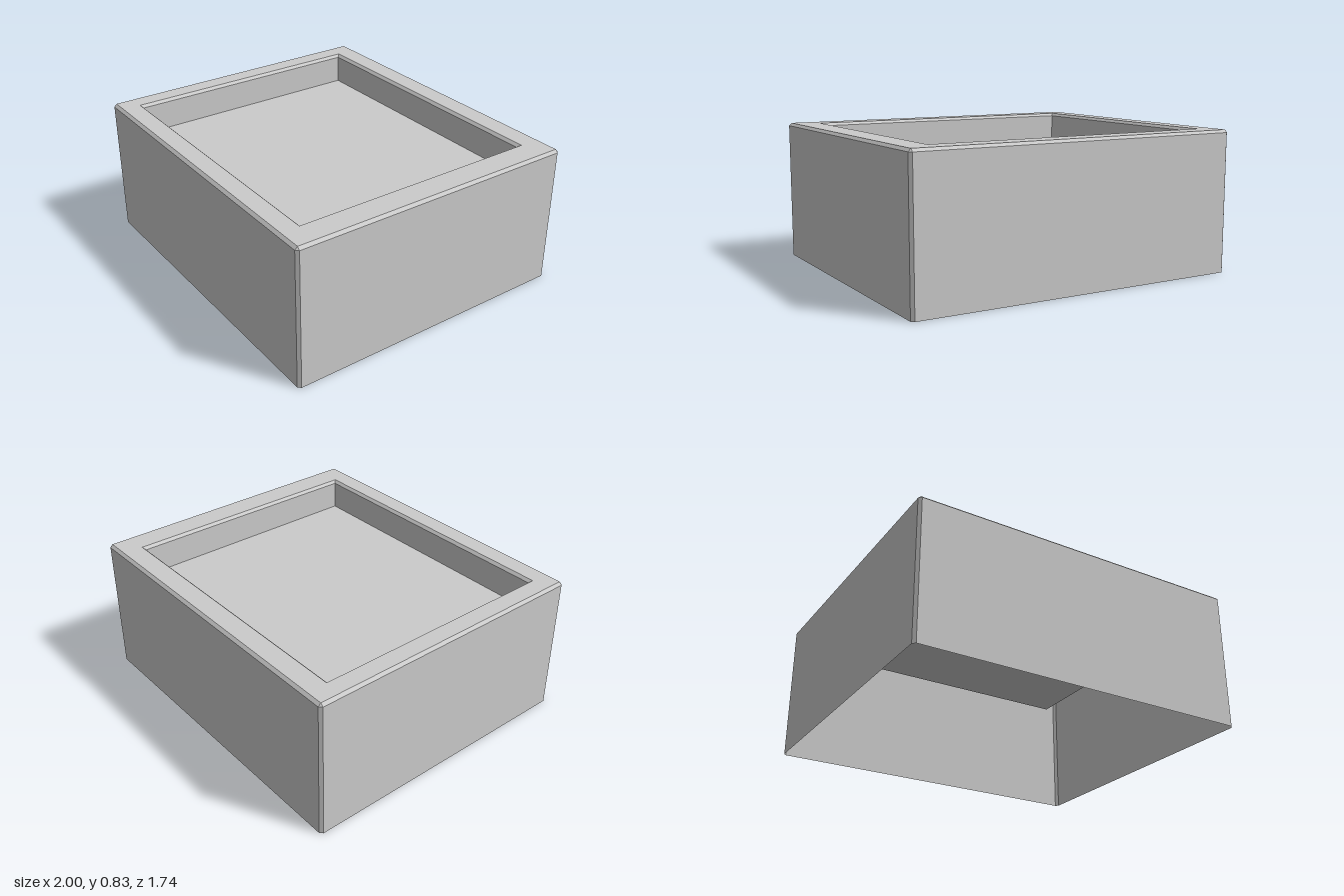
import * as THREE from 'three';

const C = 0.016; // chamfer width

// Rectangular cross-section at height y, with corners cut by c (eight points)
function loop(x0, x1, z0, z1, y, c = 0) {
  return [
    [x1 - c, z1], [x1, z1 - c], [x1, z0 + c], [x1 - c, z0],
    [x0 + c, z0], [x0, z0 + c], [x0, z1 - c], [x0 + c, z1],
  ].map(([x, z]) => new THREE.Vector3(x, y, z));
}

// Flat-shaded skin joining successive cross-sections
function skin(name, loops, material) {
  const points = [];
  const tri = (a, b, c) => {
    if (!a.equals(b) && !b.equals(c) && !c.equals(a)) points.push(a, b, c);
  };
  for (let k = 0; k < loops.length - 1; k++) {
    const lower = loops[k], upper = loops[k + 1];
    for (let i = 0; i < 8; i++) {
      const j = (i + 1) % 8;
      tri(lower[i], lower[j], upper[j]);
      tri(lower[i], upper[j], upper[i]);
    }
  }
  const geometry = new THREE.BufferGeometry().setFromPoints(points);
  geometry.computeVertexNormals();
  const mesh = new THREE.Mesh(geometry, material);
  mesh.name = name;
  return mesh;
}

export function createModel() {
  const group = new THREE.Group();
  group.name = 'recessedTray';
  const material = new THREE.MeshStandardMaterial({
    color: 0xcccccc, flatShading: true, side: THREE.DoubleSide,
  });

  const X = 1, Z = 0.872, H = 0.83, floorY = 0.645;
  // Slightly off-centre opening
  const o = { x0: -0.882, x1: 0.84, z0: -0.738, z1: 0.749 };
  const pocket = (y, inset) =>
    loop(o.x0 + inset, o.x1 - inset, o.z0 + inset, o.z1 - inset, y);

  const outerTop = loop(-X + C, X - C, -Z + C, Z - C, H);
  const shoulder = loop(-X, X, -Z, Z, H - C, C);

  // Thin outer walls, open underneath, with chamfered corners and top edge
  group.add(skin('outerWalls', [loop(-X, X, -Z, Z, 0, C), shoulder, outerTop], material));
  // Flat rim around the opening
  group.add(skin('rim', [outerTop, pocket(H, 0)], material));
  // Chamfered lip and pocket walls
  group.add(skin('pocketWalls', [pocket(H, 0), pocket(H - C, C), pocket(floorY, C)], material));

  // Pocket floor
  const floor = new THREE.Mesh(
    new THREE.PlaneGeometry(o.x1 - o.x0 - 2 * C, o.z1 - o.z0 - 2 * C).rotateX(-Math.PI / 2),
    material,
  );
  floor.position.set((o.x0 + o.x1) / 2, floorY, (o.z0 + o.z1) / 2);
  floor.name = 'pocketFloor';
  group.add(floor);

  return group;
}
